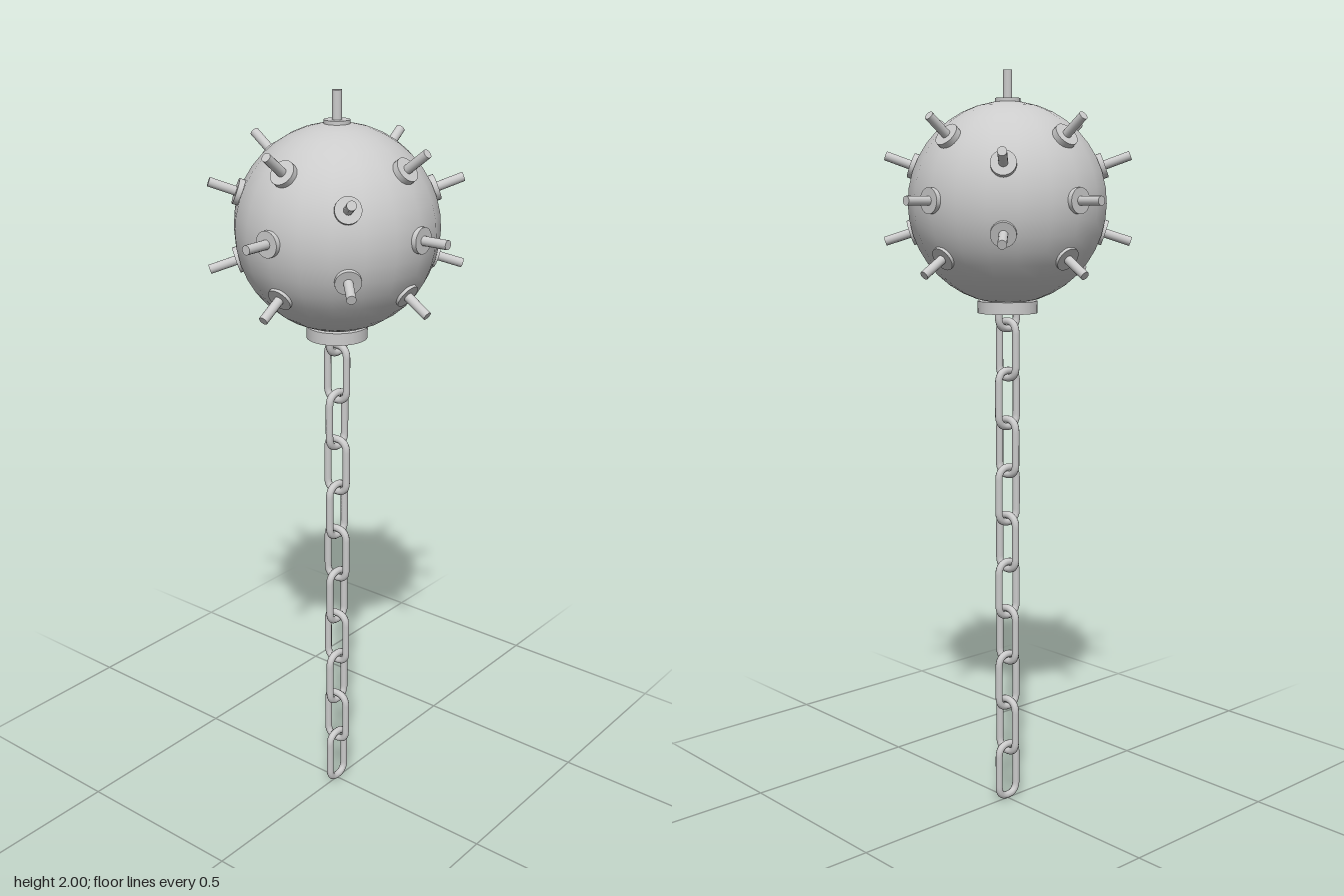
import * as THREE from 'three';

const material = new THREE.MeshStandardMaterial({ color: 0xcccccc });
const BALL_Y = 1.66, PIN_Y = 1.667;

function addMesh(parent, name, geometry, y = 0) {
  const mesh = new THREE.Mesh(geometry, material);
  mesh.name = name;
  mesh.position.y = y;
  parent.add(mesh);
  return mesh;
}

// Rounded rectangular loop, swept into one chain link
function linkGeometry(halfW, halfH, corner, tube) {
  const path = new THREE.CurvePath();
  const v = (x, y) => new THREE.Vector3(x, y, 0);
  const w = halfW - tube, h = halfH - tube;
  const corners = [[1, 1], [-1, 1], [-1, -1], [1, -1]];
  const ends = corners.map(([sx, sy]) => {
    const side = v(sx * w, sy * (h - corner)), cap = v(sx * (w - corner), sy * h);
    return sx * sy > 0 ? [side, cap] : [cap, side];
  });
  corners.forEach(([sx, sy], i) => {
    const [a, b] = ends[i];
    path.add(new THREE.QuadraticBezierCurve3(a, v(sx * w, sy * h), b));
    path.add(new THREE.LineCurve3(b, ends[(i + 1) % 4][0]));
  });
  return new THREE.TubeGeometry(path, 72, tube, 10, true);
}

export function createModel() {
  const model = new THREE.Group();
  model.name = 'spikedBallAndChain';

  addMesh(model, 'ball', new THREE.SphereGeometry(0.262, 20, 20), BALL_Y);
  addMesh(model, 'collar', new THREE.CylinderGeometry(0.08, 0.08, 0.032, 32), 1.39);

  // Spikes: a thin rod standing on a round base plate
  const plate = new THREE.CylinderGeometry(0.033, 0.033, 0.03, 24);
  const rod = new THREE.CylinderGeometry(0.012, 0.012, 0.1, 16);
  const up = new THREE.Vector3(0, 1, 0);
  function addSpike(elevation, yaw, y = PIN_Y) {
    const e = THREE.MathUtils.degToRad(elevation), a = THREE.MathUtils.degToRad(yaw);
    const dir = new THREE.Vector3(Math.cos(e) * Math.sin(a), Math.sin(e), Math.cos(e) * Math.cos(a));
    const spike = new THREE.Group();
    spike.name = 'spike';
    spike.position.y = y;
    spike.quaternion.setFromUnitVectors(up, dir);
    addMesh(spike, 'spikeBase', plate, 0.254);
    addMesh(spike, 'spikeRod', rod, 0.29);
    model.add(spike);
  }
  addSpike(90, 0, BALL_Y);
  for (let i = 0; i < 4; i++) {
    addSpike(0, i * 90);
    addSpike(37.5, i * 90 + 1.2);
    addSpike(-33, i * 90);
    addSpike(20, i * 90 + 45);
    addSpike(-18, i * 90 + 45);
  }

  // Chain: links alternate by a quarter turn, the topmost held in the collar
  const link = linkGeometry(0.042, 0.086, 0.032, 0.01);
  for (let i = 0; i <= 10; i++) {
    const mesh = addMesh(model, 'chainLink', link, 0.086 + i * 0.1322);
    mesh.rotation.y = i % 2 ? 0 : Math.PI / 2;
  }
  return model;
}
